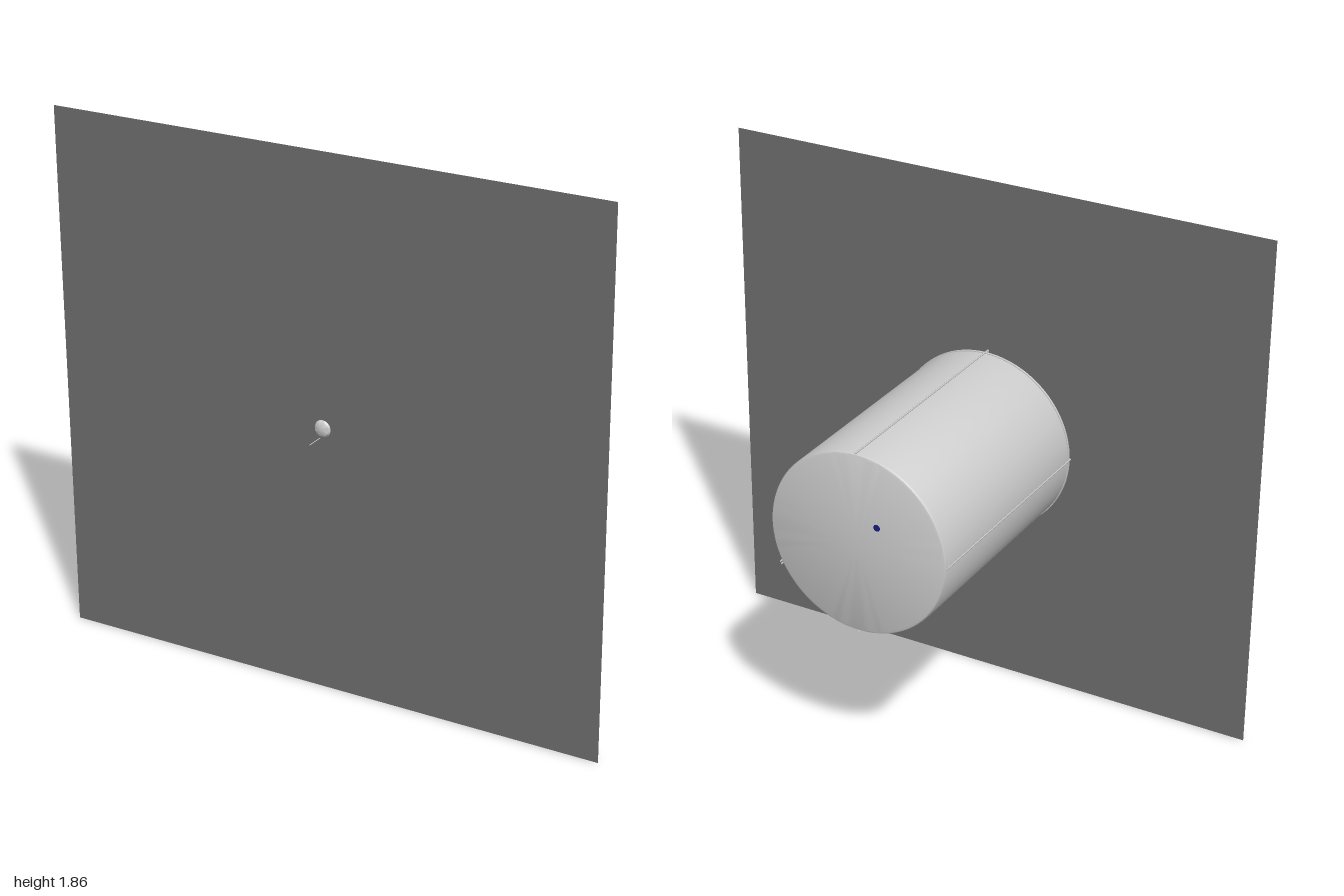
import * as THREE from 'three';
import { toCreasedNormals } from 'three/addons/utils/BufferGeometryUtils.js';

const CY = 0.935; // height of the tank axis
const R = 0.323;  // shell radius

export function createModel() {
  const model = new THREE.Group();
  const grey = new THREE.MeshStandardMaterial({ color: 0xcccccc });
  const dark = new THREE.MeshStandardMaterial({ color: 0x6e6e6e, side: THREE.DoubleSide });
  const blue = new THREE.MeshStandardMaterial({ color: 0x1c1c80 });

  const add = (name, geometry, material = grey, parent = model) => {
    const mesh = new THREE.Mesh(geometry, material);
    mesh.name = name;
    parent.add(mesh);
    return mesh;
  };
  // Turned part along z; points are [radius, z] from back to front
  const turned = (name, points, segments) => {
    const lathe = new THREE.LatheGeometry(points.map(p => new THREE.Vector2(...p)), segments);
    const mesh = add(name, toCreasedNormals(lathe.rotateX(Math.PI / 2), 0.6));
    mesh.position.y = CY;
  };
  // Straight round bar between two points
  const bar = (name, a, b, r, parent = model) => {
    const from = new THREE.Vector3(...a), to = new THREE.Vector3(...b);
    const dir = to.clone().sub(from);
    const mesh = add(name, new THREE.CylinderGeometry(r, r, dir.length(), 6), grey, parent);
    mesh.position.copy(from).add(to).multiplyScalar(0.5);
    mesh.quaternion.setFromUnitVectors(new THREE.Vector3(0, 1, 0), dir.normalize());
  };

  // Large thin sheet behind the vent
  add('groundSheet', new THREE.PlaneGeometry(2, 1.86), dark).position.set(0, 0.93, 0.414);

  // Tank body with rounded base edge, and shallow cone roof
  turned('tankShell', [[0, -0.478], [R - 0.012, -0.478], [R - 0.004, -0.475], [R, -0.467], [R, 0.365]], 96);
  turned('roof', [[R, 0.362], [R + 0.003, 0.362], [R + 0.003, 0.37], [0, 0.396]], 96);

  // Roof vent with domed cap and thin mast
  turned('ventNeck', [[0.016, 0.388], [0.016, 0.406]], 24);
  turned('ventCap', [[0, 0.402], [0.033, 0.402], [0.033, 0.411], [0.027, 0.416], [0.025, 0.421],
    [0.018, 0.425], [0, 0.427]], 32);
  bar('mast', [-0.01, 0.9, 0.392], [-0.01, 0.9, 0.478], 0.0015);

  // Coloured fitting on the base
  const fitting = add('baseFitting', new THREE.CylinderGeometry(0.012, 0.012, 0.002, 16), blue);
  fitting.rotation.x = Math.PI / 2;
  fitting.position.set(-0.075, CY + 0.08, -0.478);

  // Pipes along the shell: [angle in degrees, back z, front z]
  for (const [deg, z0, z1] of [[90, -0.478, 0.385], [180, -0.478, 0.375], [-26.5, -0.478, 0.365],
    [-28, -0.478, 0.365], [-90, -0.478, -0.04]]) {
    const t = THREE.MathUtils.degToRad(deg);
    const x = Math.cos(t) * (R + 0.003), y = CY + Math.sin(t) * (R + 0.003);
    bar('shellPipe', [x, y, z0], [x, y, z1], 0.003);
    if (z1 > 0.37) { // bend over the roof edge
      const k = 0.93;
      bar('pipeBend', [x, y, z1], [x * k, CY + (y - CY) * k, z1], 0.003);
    }
  }

  // Ladder on the left side; local x points away from the tank axis
  const ladder = new THREE.Group();
  ladder.name = 'ladder';
  ladder.position.y = CY;
  ladder.rotation.z = -0.26;
  model.add(ladder);
  const rail = R + 0.012, half = 0.024;
  for (const s of [-1, 1]) {
    bar('ladderRail', [rail, s * half, -0.45], [rail, s * half, 0.4], 0.002, ladder);
    bar('ladderTopHook', [rail, s * half, 0.4], [rail - 0.04, s * half, 0.385], 0.002, ladder);
  }
  for (let i = 0; i <= 40; i++) {
    const z = -0.44 + i * 0.02;
    bar('ladderRung', [rail, -half, z], [rail, half, z], 0.0014, ladder);
  }
  // Safety hoops and their outer rail
  for (let i = 0; i < 5; i++) {
    const z = -0.34 + i * 0.16;
    const hoop = add('ladderHoop', new THREE.TorusGeometry(half, 0.0014, 5, 12, Math.PI), grey, ladder);
    hoop.rotation.z = -Math.PI / 2;
    hoop.position.set(rail, 0, z);
    for (const s of [-1, 1]) bar('ladderBracket', [R - 0.004, s * half, z], [rail, s * half, z], 0.0014, ladder);
  }
  bar('hoopRail', [rail + half, 0, -0.34], [rail + half, 0, 0.3], 0.0014, ladder);

  // Small landing at the ladder top and a handrail to the vent
  const landing = add('landing', new THREE.BoxGeometry(0.035, 0.05, 0.004), grey, ladder);
  landing.position.set(R - 0.006, 0, 0.378);
  for (const s of [-1, 1]) bar('roofHandrail', [R - 0.01, s * half, 0.386], [0.03, s * 0.012, 0.402], 0.0014, ladder);

  return model;
}
